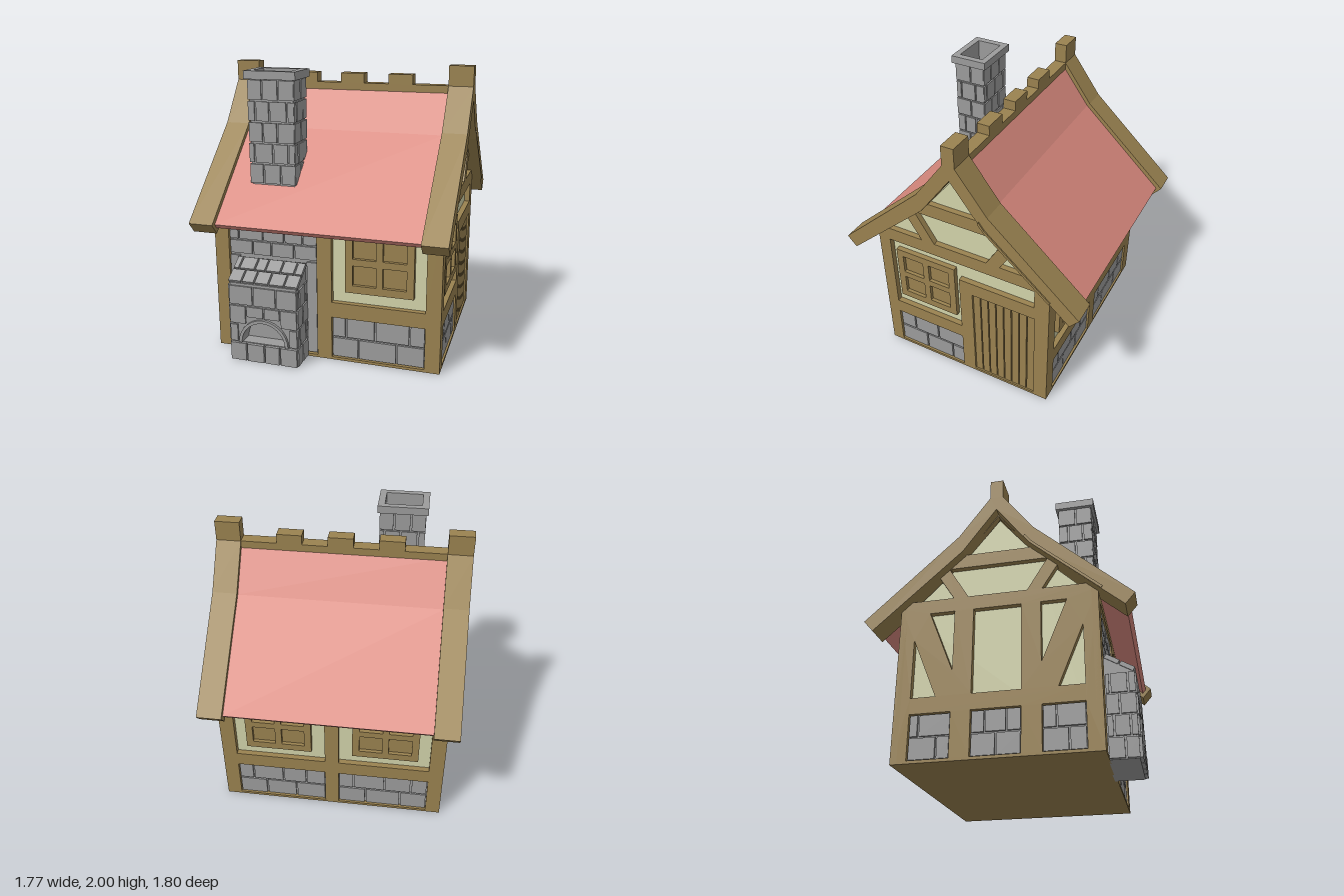
import * as THREE from 'three';

const mat = (name, color) => Object.assign(new THREE.MeshStandardMaterial({ color }), { name });

export function createModel() {
  const wood = mat('timber', 0x9a8250);
  const stone = mat('stone', 0x9c9c9c);
  const cream = mat('plaster', 0xd2d3aa);
  const red = mat('roofTile', 0xd9897e);
  const model = new THREE.Group();
  model.name = 'cottage';

  let seed = 7;
  const rand = () => (seed = (seed * 16807) % 2147483647) / 2147483647;

  function group(name, parent = model) {
    const g = new THREE.Group();
    g.name = name;
    parent.add(g);
    return g;
  }
  function add(name, geo, material, parent = model) {
    const m = new THREE.Mesh(geo, material);
    m.name = name;
    parent.add(m);
    return m;
  }
  // box given by its minimum and maximum corners
  function box(name, material, x0, x1, y0, y1, z0, z1, parent) {
    const m = add(name, new THREE.BoxGeometry(x1 - x0, y1 - y0, z1 - z0), material, parent);
    m.position.set((x0 + x1) / 2, (y0 + y1) / 2, (z0 + z1) / 2);
    return m;
  }
  const pts = a => a.map(p => new THREE.Vector2(p[0], p[1]));
  const rect = (x0, x1, y0, y1) => [[x0, y0], [x1, y0], [x1, y1], [x0, y1]];
  const mirror = a => [...a, ...a.filter(p => p[0] !== 0).map(p => [-p[0], p[1]]).reverse()];
  function slab(outline, holes, depth) {
    const s = new THREE.Shape(pts(outline));
    holes.forEach(h => s.holes.push(new THREE.Path(pts(h))));
    return new THREE.ExtrudeGeometry(s, { depth, bevelEnabled: false, curveSegments: 16 });
  }
  // (z, y) profile extruded along x from x0 to x1
  function prism(name, material, outline, x0, x1, parent) {
    const m = add(name, slab(outline, [], x1 - x0), material, parent);
    m.rotation.y = -Math.PI / 2;
    m.position.x = x1;
    return m;
  }
  // staggered rows of stones in the xy plane
  function bricks(parent, x0, x1, y0, y1, rows, cols, z0, z1, gap = 0.012) {
    const h = (y1 - y0) / rows, w = (x1 - x0) / cols;
    for (let r = 0; r < rows; r++) {
      const cuts = [x0];
      for (let c = r % 2 ? 0.45 : 1; c < cols - 0.2; c++) cuts.push(x0 + w * (c + (rand() - 0.5) * 0.25));
      cuts.push(x1);
      for (let i = 0; i + 1 < cuts.length; i++)
        box('stoneBlock', stone, cuts[i] + gap / 2, cuts[i + 1] - gap / 2,
          y0 + r * h + gap / 2, y0 + (r + 1) * h - gap / 2, z0, z1 - rand() * 0.004, parent);
    }
  }

  // plaster core and floor
  prism('plasterCore', cream, mirror([[0.625, 0.01], [0.625, 1.06], [0.24, 1.44], [0, 1.74]]), -0.77, 0.77);
  box('floor', wood, -0.8, 0.8, 0, 0.02, -0.655, 0.655);

  // each wall is built facing +z with its outer face at local z = 0
  function wall(name, angle, dist, outline, holes) {
    const g = group(name);
    g.rotation.y = angle;
    g.position.set(Math.sin(angle) * dist, 0, Math.cos(angle) * dist);
    add('timberFrame', slab(outline, holes, 0.045), wood, g).position.z = -0.045;
    return g;
  }
  function stonePanel(g, x0, x1, y0, y1, rows, cols) {
    box('stoneBacking', stone, x0 - 0.01, x1 + 0.01, y0 - 0.01, y1 + 0.01, -0.044, -0.028, g);
    bricks(g, x0, x1, y0, y1, rows, cols, -0.03, -0.01);
  }
  function windowAt(g, cx) {
    const holes = [];
    for (const px of [-0.105, 0.105])
      for (const py of [0.64, 0.83])
        holes.push(rect(cx + px - 0.082, cx + px + 0.082, py - 0.071, py + 0.071));
    add('windowFrame', slab(rect(cx - 0.237, cx + 0.237, 0.515, 0.955), holes, 0.04), wood, g).position.z = -0.043;
    box('shutter', wood, cx - 0.22, cx + 0.22, 0.53, 0.94, -0.04, -0.028, g);
  }

  // long walls
  const longWall = rect(-0.81, 0.81, 0, 1.09);
  const bay = s => [Math.min(s * 0.05, s * 0.705), Math.max(s * 0.05, s * 0.705)];
  const low = s => rect(...bay(s), 0.02, 0.32), high = s => rect(...bay(s), 0.43, 1.03);

  const front = wall('frontWall', 0, 0.665, longWall, [low(1), high(1), rect(-0.705, -0.055, 0.02, 1.03)]);
  stonePanel(front, 0.05, 0.705, 0.02, 0.32, 2, 3);
  windowAt(front, 0.385);
  box('stoneBacking', stone, -0.71, -0.05, 0.01, 1.04, -0.044, -0.028, front);
  bricks(front, -0.705, -0.055, 0.71, 1.03, 3, 4, -0.03, -0.01);
  for (const x of [-0.7, -0.13])
    box('tallStone', stone, x, x + 0.07, 0.03, 0.7, -0.03, -0.01, front);

  const back = wall('backWall', Math.PI, 0.665, longWall, [low(1), high(1), low(-1), high(-1)]);
  for (const s of [-1, 1]) {
    stonePanel(back, ...bay(s), 0.02, 0.32, 2, 3);
    windowAt(back, s * 0.385);
  }

  // gable walls
  const gable = mirror([[0.665, 0], [0.665, 1.09], [0.245, 1.475], [0, 1.79]]);
  const sideTri = [[0.59, 1.13], [0.41, 1.305], [0.3, 1.13]];
  const gableHoles = () => [
    [[0.23, 1.46], [0, 1.75], [-0.23, 1.46]],
    [[0.2, 1.13], [0.34, 1.36], [-0.34, 1.36], [-0.2, 1.13]],
    sideTri, sideTri.map(p => [-p[0], p[1]]),
  ];

  const right = wall('doorWall', Math.PI / 2, 0.81, gable, [
    ...gableHoles(),
    rect(-0.575, -0.02, 0.02, 0.32),
    [[-0.575, 0.43], [-0.02, 0.43], [-0.02, 0.885], [0.555, 0.885], [0.555, 1.03], [-0.575, 1.03]],
    rect(0.08, 0.56, 0.02, 0.78),
  ]);
  stonePanel(right, -0.575, -0.02, 0.02, 0.32, 2, 2.4);
  windowAt(right, -0.295);
  box('doorBacking', wood, 0.075, 0.565, 0.015, 0.785, -0.044, -0.025, right);
  for (let i = 0; i < 8; i++)
    box('doorPlank', wood, 0.083 + i * 0.06, 0.135 + i * 0.06, 0.02, 0.78, -0.03, -0.012, right);

  // cream triangles on either side of each corner brace
  const brace = [[[0.56, 0.43], [0.56, 0.84], [0.395, 0.43]], [[0.29, 0.6], [0.46, 1.03], [0.29, 1.03]]];
  const left = wall('braceWall', -Math.PI / 2, 0.81, gable, [
    ...gableHoles(),
    ...brace, ...brace.map(t => t.map(p => [-p[0], p[1]])),
    rect(-0.16, 0.16, 0.43, 1.03),
    rect(-0.16, 0.16, 0.02, 0.32), rect(0.29, 0.56, 0.02, 0.32), rect(-0.56, -0.29, 0.02, 0.32),
  ]);
  stonePanel(left, -0.16, 0.16, 0.02, 0.32, 2, 2);
  stonePanel(left, 0.29, 0.56, 0.02, 0.32, 2, 1.6);
  stonePanel(left, -0.56, -0.29, 0.02, 0.32, 2, 1.6);

  // roof, bargeboards and ridge
  prism('roof', red, [[0.86, 0.98], [0.24, 1.55], [0.03, 1.83], [-0.03, 1.83], [-0.24, 1.55], [-0.86, 0.98],
    [-0.835, 0.95], [-0.22, 1.51], [0, 1.78], [0.22, 1.51], [0.835, 0.95]], -0.71, 0.71);
  const barge = [[0.9, 0.985], [0.26, 1.57], [0.045, 1.86], [0.045, 2], [-0.045, 2], [-0.045, 1.86], [-0.26, 1.57],
    [-0.9, 0.985], [-0.835, 0.91], [-0.23, 1.45], [0, 1.76], [0.23, 1.45], [0.835, 0.91]];
  prism('bargeboardRight', wood, barge, 0.705, 0.877);
  prism('bargeboardLeft', wood, barge, -0.877, -0.705);
  const trim = [[0.19, 1.504], [0.23, 1.45], [0.69, 1.04], [0.7, 1.055], [0.24, 1.465], [0.2, 1.52]];
  prism('edgeTrimLeft', wood, trim, -0.885, -0.876);
  prism('edgeTrimRight', wood, trim.map(p => [-p[0], p[1]]), 0.876, 0.885);
  box('ridgeBeam', wood, -0.71, 0.71, 1.81, 1.862, -0.045, 0.045);
  for (const x of [-0.335, 0.015, 0.367])
    box('ridgeBlock', wood, x - 0.087, x + 0.087, 1.85, 1.93, -0.045, 0.045);

  // stones on the four sides of a rectangular block, rotated about its centre
  function stoneSide(parent, cx, cz, angle, dist, half, y0, y1, rows, cols) {
    const g = group('stoneSide', parent);
    g.position.set(cx, 0, cz);
    g.rotation.y = angle;
    bricks(g, -half, half, y0, y1, rows, cols, dist - 0.01, dist + 0.013);
  }

  // chimney
  const chimney = group('chimney');
  const cx = -0.378, cz = 0.497;
  function tube(name, hx, hz, y0, y1) {
    const m = add(name, slab(rect(-hx, hx, -hz, hz), [rect(-0.133, 0.133, -0.092, 0.092)], y1 - y0), stone, chimney);
    m.rotation.x = -Math.PI / 2;
    m.position.set(cx, y0, cz);
  }
  tube('chimneyStack', 0.155, 0.108, 1.2, 1.94);
  tube('chimneyCap', 0.182, 0.138, 1.93, 1.985);
  box('flueFloor', stone, cx - 0.14, cx + 0.14, 1.78, 1.8, cz - 0.1, cz + 0.1, chimney);
  for (let i = 0; i < 4; i++) {
    const wide = i % 2 === 0;
    stoneSide(chimney, cx, cz, i * Math.PI / 2, wide ? 0.108 : 0.155, wide ? 0.167 : 0.12, 1.22, 1.93, 5, wide ? 3 : 2);
  }

  // outdoor oven with arched mouth and sloping stone top
  const oven = group('oven');
  const ox = -0.38, r = 0.16;
  const arc = (rad, n = 14) => Array.from({ length: n + 1 }, (_, i) =>
    [ox + rad * Math.cos(Math.PI * i / n), 0.14 + rad * Math.sin(Math.PI * i / n)]);
  add('ovenFace', slab(rect(-0.622, -0.138, 0, 0.565), [arc(r)], 0.2), stone, oven).position.z = 0.645;
  box('ovenBack', stone, -0.6, -0.16, 0.1, 0.5, 0.65, 0.75, oven);
  add('ovenArch', slab([...arc(0.182), ...arc(r).reverse()], [], 0.05), stone, oven).position.z = 0.815;
  prism('ovenHood', stone, [[0.65, 0.56], [0.845, 0.56], [0.845, 0.572], [0.65, 0.69]], -0.622, -0.138, oven);
  bricks(oven, -0.63, -0.13, 0, 0.14, 1, 4, 0.83, 0.868);
  bricks(oven, -0.63, ox - 0.185, 0.14, 0.275, 1, 1, 0.83, 0.86);
  bricks(oven, ox + 0.185, -0.13, 0.14, 0.275, 1, 1, 0.83, 0.86);
  bricks(oven, -0.63, ox - 0.125, 0.275, 0.415, 1, 1, 0.83, 0.86);
  bricks(oven, ox + 0.125, -0.13, 0.275, 0.415, 1, 1, 0.83, 0.86);
  bricks(oven, ox - 0.125, ox + 0.125, 0.328, 0.415, 1, 2, 0.83, 0.86);
  bricks(oven, -0.63, -0.13, 0.415, 0.56, 1, 3, 0.83, 0.86);
  for (const s of [-1, 1])
    stoneSide(oven, ox, 0.755, s * Math.PI / 2, 0.242, 0.098, 0, 0.565, 4, 2);
  const slope = group('hoodStones', oven);
  slope.position.set(0, 0.572, 0.848);
  slope.rotation.x = Math.atan2(0.118, 0.195) - Math.PI / 2;
  bricks(slope, -0.635, -0.125, 0, 0.22, 2, 5, -0.01, 0.02);

  return model;
}
